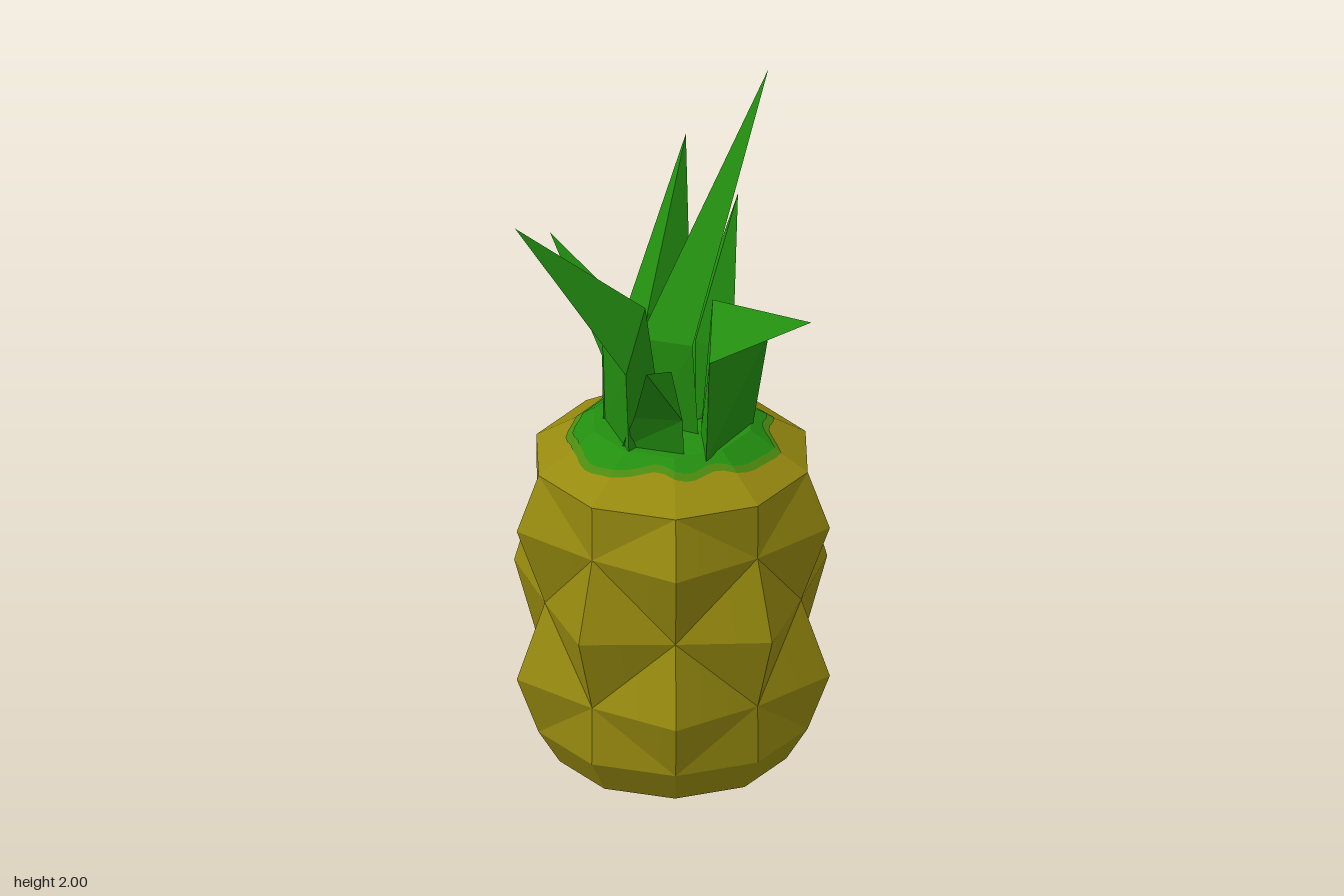
import * as THREE from 'three';
import { toCreasedNormals } from 'three/addons/utils/BufferGeometryUtils.js';

const CX = -0.022, CZ = -0.01, SIDES = 10, STEP = (Math.PI * 2) / SIDES;

// Triangle list of [x, y, z] points to a geometry
function fromTriangles(tris) {
  const g = new THREE.BufferGeometry();
  g.setAttribute('position', new THREE.Float32BufferAttribute(tris.flat(2), 3));
  g.computeVertexNormals();
  return g;
}

// Fruit: ten-sided rings whose middle rows alternate peaks and valleys
function fruitGeometry() {
  const rows = [ // y, valley radius, peak radius
    [0, 0.32, 0.32], [0.1, 0.38, 0.38], [0.27, 0.378, 0.442], [0.49, 0.362, 0.442],
    [0.72, 0.378, 0.442], [0.88, 0.38, 0.38], [0.98, 0.22, 0.22],
  ];
  const isPeak = (k, j) => (k + j) % 2 === 0;
  const at = (k, j) => {
    const [y, valley, peak] = rows[j];
    const r = isPeak(k, j) ? peak : valley, a = (k % SIDES) * STEP;
    return [CX + r * Math.cos(a), y, CZ + r * Math.sin(a)];
  };
  const tris = [], last = rows.length - 1;
  for (let k = 0; k < SIDES; k++) {
    for (let j = 0; j < last; j++) {
      const a = at(k, j), b = at(k + 1, j), c = at(k + 1, j + 1), d = at(k, j + 1);
      // The fold always joins two valleys
      if (isPeak(k, j)) tris.push([a, d, b], [b, d, c]);
      else tris.push([a, d, c], [a, c, b]);
    }
    tris.push([[CX, 0, CZ], at(k, 0), at(k + 1, 0)]);
    tris.push([[CX, 0.98, CZ], at(k + 1, last), at(k, last)]);
  }
  return toCreasedNormals(fromTriangles(tris), 0.3);
}

// Thin skin with a wavy rim lying on the fruit's shoulder; reach 0..1 runs down the slope
function crownSkin(reach, lift) {
  const n = 60, tris = [];
  const point = (i, t) => {
    const a = ((i % n) / n) * Math.PI * 2;
    const flat = Math.cos(STEP / 2) / Math.cos((a % STEP) - STEP / 2);
    const r = (0.22 + 0.16 * t) * flat;
    return [CX + r * Math.cos(a), 0.98 - 0.1 * t + lift, CZ + r * Math.sin(a)];
  };
  const rim = (i) => {
    const a = ((i % n) / n) * Math.PI * 2;
    return reach + 0.1 * Math.sin(3 * a + 1) + 0.06 * Math.sin(7 * a) + 0.04 * Math.sin(11 * a + 2);
  };
  for (let i = 0; i < n; i++) {
    const a = point(i, 0), b = point(i + 1, 0), c = point(i + 1, rim(i + 1)), d = point(i, rim(i));
    tris.push([[CX, 0.98 + lift, CZ], b, a], [a, b, c], [a, c, d]);
  }
  return fromTriangles(tris);
}

// Leaf: a three-sided stem from base to bend, then a long spike to the tip
function leafGeometry(base, bend, tip) {
  const [p, q, s] = base;
  const turn = (q[0] - p[0]) * (s[2] - p[2]) - (q[2] - p[2]) * (s[0] - p[0]);
  const order = turn > 0 ? [0, 1, 2] : [0, 2, 1];
  const tris = [];
  for (let i = 0; i < 3; i++) {
    const m = order[i], n = order[(i + 1) % 3];
    tris.push([base[m], bend[m], base[n]], [base[n], bend[m], bend[n]], [bend[m], tip, bend[n]]);
  }
  return fromTriangles(tris);
}

// Each leaf: base corners [x, z], bend corners [x, y, z], tip
const LEAVES = [
  { name: 'tallLeaf', base: [[-0.05, -0.09], [-0.06, 0.03], [0.07, 0.05]],
    bend: [[-0.07, 1.28, -0.115], [-0.095, 1.25, 0.05], [0.065, 1.27, 0.09]], tip: [0.2, 2, -0.17] },
  { name: 'frontLeftLeaf', base: [[0.19, -0.06], [0.13, 0.18], [0.07, 0.03]],
    bend: [[0.245, 1.285, -0.03], [0.145, 1.285, 0.2], [0.105, 1.39, 0.035]], tip: [0.46, 1.51, 0.3] },
  { name: 'frontRightLeaf', base: [[-0.2, 0.03], [-0.02, 0.07], [-0.08, 0.2]],
    bend: [[-0.2, 1.21, 0.045], [-0.07, 1.36, 0.08], [-0.08, 1.23, 0.23]], tip: [-0.37, 1.67, 0.3] },
  { name: 'rightLeaf', base: [[-0.2, -0.1], [-0.2, 0.04], [-0.1, -0.02]],
    bend: [[-0.21, 1.18, -0.11], [-0.2, 1.18, 0.05], [-0.1, 1.24, -0.03]], tip: [-0.37, 1.49, -0.03] },
  { name: 'backRightLeaf', base: [[-0.15, -0.08], [-0.02, -0.1], [-0.1, -0.02]],
    bend: [[-0.195, 1.2, -0.12], [-0.01, 1.2, -0.15], [-0.1, 1.28, -0.04]], tip: [-0.105, 1.63, -0.42] },
  { name: 'backLeaf', base: [[-0.02, -0.1], [0.1, -0.08], [0.04, -0.02]],
    bend: [[-0.04, 1.1, -0.15], [0.115, 1.12, -0.12], [0.02, 1.19, -0.09]], tip: [0.035, 1.46, -0.44] },
  { name: 'frontLeaf', base: [[-0.11, 0.17], [0.065, 0.17], [0, 0.08]],
    bend: [[-0.06, 1.1, 0.22], [0.07, 1.1, 0.2], [0.015, 1.2, 0.12]], tip: [0.04, 1.36, 0.44] },
];

export function createModel() {
  const rind = new THREE.MeshStandardMaterial({ color: 0x978a0f });
  rind.name = 'yellow rind';
  const green = new THREE.MeshStandardMaterial({ color: 0x238f10, side: THREE.DoubleSide });
  green.name = 'leaf green';
  const blend = new THREE.MeshStandardMaterial({ color: 0x4d8a10, side: THREE.DoubleSide });
  blend.name = 'olive green';

  const model = new THREE.Group();
  model.name = 'pineapple';
  const add = (parent, name, geometry, material) => {
    const mesh = new THREE.Mesh(geometry, material);
    mesh.name = name;
    parent.add(mesh);
  };

  add(model, 'fruit', fruitGeometry(), rind);
  add(model, 'crownSkinEdge', crownSkin(0.42, 0.002), blend);
  add(model, 'crownSkin', crownSkin(0.3, 0.004), green);

  // Crown of leaves
  const crown = new THREE.Group();
  crown.name = 'crown';
  for (const { name, base, bend, tip } of LEAVES) {
    const foot = base.map(([x, z]) => [x, 0.975, z]);
    add(crown, name, leafGeometry(foot, bend, tip), green);
  }
  model.add(crown);
  return model;
}
